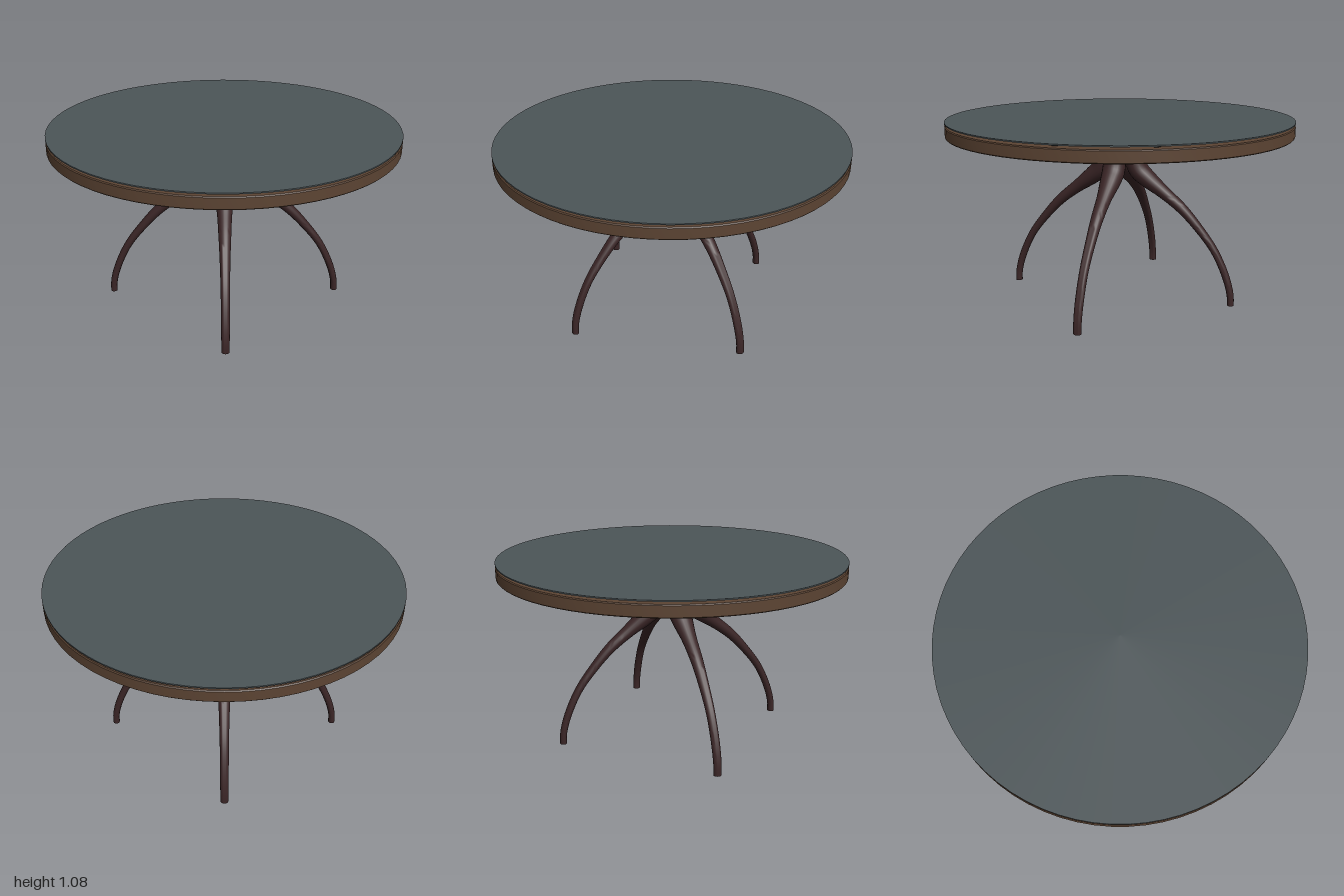
import * as THREE from 'three';
import { toCreasedNormals } from 'three/addons/utils/BufferGeometryUtils.js';

// Leg centreline from tabletop to floor: distance from the axis, height, radius
const LEG = [
  [0.215, 1.02, 0.044], [0.178, 0.98, 0.047], [0.115, 0.905, 0.054], [0.092, 0.845, 0.058],
  [0.115, 0.775, 0.058], [0.172, 0.722, 0.052], [0.27, 0.648, 0.038], [0.38, 0.56, 0.031],
  [0.473, 0.462, 0.026], [0.582, 0.32, 0.022], [0.655, 0.165, 0.021], [0.683, 0.06, 0.02], [0.686, 0, 0.02],
];

// Tapered tube with slightly oval sections, swept in the xy plane and capped at both ends
function legGeometry(steps = 56, sides = 20) {
  const curve = new THREE.CatmullRomCurve3(LEG.map((p) => new THREE.Vector3(...p)));
  const pos = [], index = [];
  for (let i = 0; i <= steps; i++) {
    const p = curve.getPointAt(i / steps);
    const t = curve.getTangentAt(i / steps).setZ(0).normalize();
    if (i === steps) t.set(0, -1, 0); // keep the foot level
    for (let j = 0; j < sides; j++) {
      const a = (j / sides) * Math.PI * 2;
      const n = p.z * Math.cos(a);
      pos.push(p.x - t.y * n, p.y + t.x * n, p.z * 1.15 * Math.sin(a));
    }
  }
  for (let i = 0; i < steps; i++) {
    for (let j = 0; j < sides; j++) {
      const a = i * sides + j, b = i * sides + (j + 1) % sides;
      index.push(a, b, a + sides, b, b + sides, a + sides);
    }
  }
  const last = steps * sides;
  for (let j = 1; j < sides - 1; j++) {
    index.push(0, j + 1, j, last, last + j, last + j + 1);
  }
  const g = new THREE.BufferGeometry();
  g.setAttribute('position', new THREE.Float32BufferAttribute(pos, 3));
  g.setIndex(index);
  return toCreasedNormals(g, 0.9);
}

export function createModel() {
  const wood = new THREE.MeshStandardMaterial({ name: 'brown wood', color: 0x5c4433 });
  const darkWood = new THREE.MeshStandardMaterial({ name: 'dark red wood', color: 0x3a2526 });
  const glass = new THREE.MeshStandardMaterial({ name: 'grey glass', color: 0x4c5558 });
  const black = new THREE.MeshStandardMaterial({ name: 'black pad', color: 0x1a1a1a });

  const model = new THREE.Group();
  model.name = 'roundTable';
  const add = (name, geometry, material, parent = model) => {
    const mesh = new THREE.Mesh(geometry, material);
    mesh.name = name;
    parent.add(mesh);
    return mesh;
  };

  // Wooden top with softened edges
  const profile = [[0, 0.989], [0.995, 0.989], [1, 0.994], [1, 1.051], [0.995, 1.056], [0, 1.056]]
    .map((p) => new THREE.Vector2(...p));
  add('tableTop', toCreasedNormals(new THREE.LatheGeometry(profile, 72), 0.5), wood);

  // Glass disc resting on a ring of small pads
  add('glassTop', new THREE.CylinderGeometry(1, 1, 0.007, 72), glass).position.y = 1.0725;
  const pads = new THREE.Group();
  pads.name = 'pads';
  model.add(pads);
  const padGeometry = new THREE.CylinderGeometry(0.022, 0.022, 0.014, 16);
  for (let i = 0; i < 12; i++) {
    const a = (i / 12) * Math.PI * 2;
    add('pad', padGeometry, black, pads).position.set(0.92 * Math.cos(a), 1.062, 0.92 * Math.sin(a));
  }

  // Four curved legs meeting at the neck
  const legs = new THREE.Group();
  legs.name = 'legs';
  model.add(legs);
  const leg = legGeometry();
  for (let i = 0; i < 4; i++) {
    add('leg', leg, darkWood, legs).rotation.y = (i * Math.PI) / 2;
  }
  return model;
}
